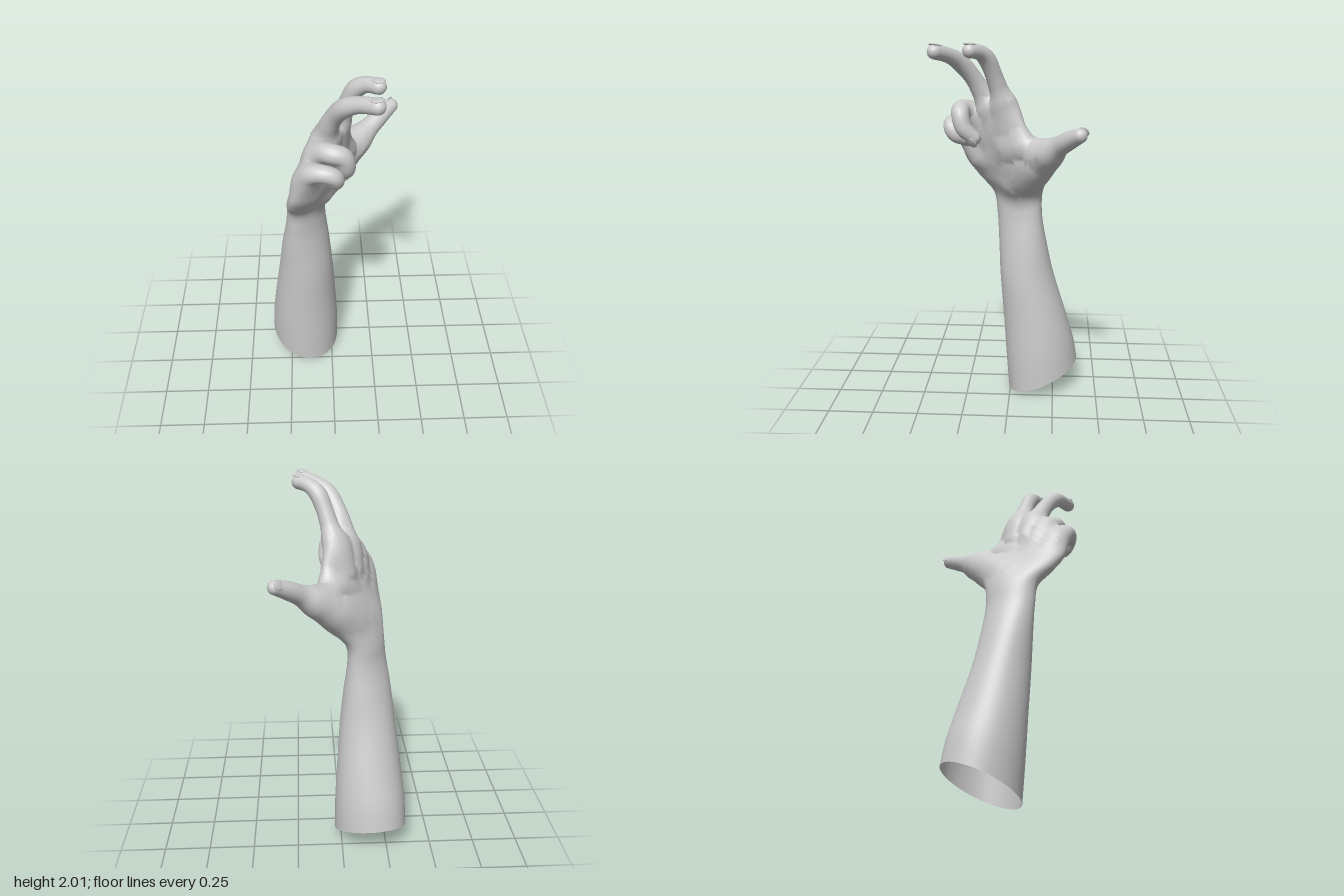
import * as THREE from 'three';

const skin = new THREE.MeshStandardMaterial({ color: 0xcccccc, side: THREE.DoubleSide });

// Catmull-Rom interpolation of rows of numbers
function spline(rows, steps) {
  const out = [];
  const last = rows.length - 1;
  for (let k = 0; k <= last * steps; k++) {
    const i = Math.min(Math.floor(k / steps), last - 1);
    const t = k / steps - i;
    const p0 = rows[Math.max(i - 1, 0)], p1 = rows[i], p2 = rows[i + 1], p3 = rows[Math.min(i + 2, last)];
    out.push(p1.map((b, c) => {
      const m1 = (p2[c] - p0[c]) / 2, m2 = (p3[c] - b) / 2, d = p2[c] - b;
      return b + t * (m1 + t * (3 * d - 2 * m1 - m2 + t * (m1 + m2 - 2 * d)));
    }));
  }
  return out;
}

// Smooth skin through closed rings of equal length
function loft(rings) {
  const n = rings[0].length, index = [];
  for (let i = 0; i < rings.length - 1; i++) {
    for (let j = 0; j < n; j++) {
      const a = i * n + j, b = i * n + (j + 1) % n;
      index.push(a, b, a + n, b, b + n, a + n);
    }
  }
  const geometry = new THREE.BufferGeometry().setFromPoints(rings.flat());
  geometry.setIndex(index);
  geometry.computeVertexNormals();
  geometry.computeBoundingBox();
  return geometry;
}

function add(group, geometry, name) {
  const mesh = new THREE.Mesh(geometry, skin);
  mesh.name = name;
  group.add(mesh);
  return mesh;
}

// Round limb along rows of [x, y, z, radius] with rounded ends; k is its blend width
function limb(name, k, rows) {
  const path = spline(rows, 6).map(([x, y, z, r]) => ({ p: new THREE.Vector3(x, y, z), r }));
  const last = path.length - 1;
  path.forEach((f, i) => {
    f.t = path[Math.min(i + 1, last)].p.clone().sub(path[Math.max(i - 1, 0)].p).normalize();
  });
  const cap = ({ p, r, t }, sign) => Array.from({ length: 6 }, (_, i) => {
    const a = (i + 1) / 6 * Math.PI / 2;
    return { p: p.clone().addScaledVector(t, sign * r * Math.sin(a)), r: Math.max(r * Math.cos(a), 0.0005), t };
  });
  const frames = [...cap(path[0], -1).reverse(), ...path, ...cap(path[last], 1)];
  const normal = new THREE.Vector3(0.3, 0.1, -0.9);
  const rings = frames.map(({ p, r, t }) => {
    normal.addScaledVector(t, -normal.dot(t)).normalize();
    const side = t.clone().cross(normal);
    return Array.from({ length: 20 }, (_, j) => {
      const a = j / 20 * Math.PI * 2;
      return p.clone().addScaledVector(normal, r * Math.cos(a)).addScaledVector(side, r * Math.sin(a));
    });
  });
  return { name, k, geometry: loft(rings), end: path[last] };
}

// Signed distance from a point to the nearest vertex plane of a geometry
function nearest(point, geometry) {
  const P = geometry.attributes.position.array, N = geometry.attributes.normal.array;
  let best = Infinity, at = 0;
  for (let i = 0; i < P.length; i += 3) {
    const x = point.x - P[i], y = point.y - P[i + 1], z = point.z - P[i + 2];
    const d = x * x + y * y + z * z;
    if (d < best) { best = d; at = i; }
  }
  const normal = new THREE.Vector3().fromArray(N, at);
  return { normal, distance: point.clone().sub(new THREE.Vector3().fromArray(P, at)).dot(normal) };
}

// Copy of a skin that swells and shares its shading where it meets its neighbours
function blend(geometry, neighbours) {
  const result = geometry.clone();
  const { position, normal } = result.attributes;
  const p = new THREE.Vector3(), n = new THREE.Vector3();
  for (let i = 0; i < position.count; i++) {
    p.fromBufferAttribute(position, i);
    n.fromBufferAttribute(normal, i);
    let weight = 0, reach = 0, other;
    for (const { geometry: g, k } of neighbours) {
      if (g.boundingBox.distanceToPoint(p) > k) continue;
      const hit = nearest(p, g);
      const w = 1 - Math.abs(hit.distance) / k;
      if (w > weight) { weight = w; reach = k; other = hit.normal; }
    }
    if (!other) continue;
    p.addScaledVector(n, weight * weight * reach / 4);
    n.multiplyScalar(1 - weight / 2).addScaledVector(other, weight / 2).normalize();
    position.setXYZ(i, p.x, p.y, p.z);
    normal.setXYZ(i, n.x, n.y, n.z);
  }
  return result;
}

// Thin nail on the side of a fingertip given by dir
function addNail(group, name, { p, r, t }, dir) {
  const up = dir.clone().addScaledVector(t, -dir.dot(t)).normalize();
  const nail = add(group, new THREE.SphereGeometry(1, 16, 10), name);
  nail.scale.set(r * 0.75, r * 0.2, r * 0.95);
  nail.quaternion.setFromRotationMatrix(new THREE.Matrix4().makeBasis(up.clone().cross(t), up, t));
  nail.position.copy(p).addScaledVector(up, r * 0.85).addScaledVector(t, r * 0.05);
}

// Arm cross-sections: y, centre x, centre z, half width, half thickness, turn in degrees, slope along z
function armRings() {
  const sections = [
    [0.08, -0.163, -0.19, 0.19, 0.208, 45, -0.42],
    [0.25, -0.16, -0.17, 0.19, 0.2, 45, -0.25],
    [0.45, -0.155, -0.138, 0.178, 0.178, 45, -0.1],
    [0.7, -0.147, -0.093, 0.155, 0.15, 45, 0],
    [0.9, -0.145, -0.067, 0.146, 0.118, 50, 0],
    [1.05, -0.142, -0.05, 0.141, 0.09, 56, 0],
    [1.17, -0.135, -0.038, 0.15, 0.082, 59, 0],
    [1.27, -0.107, 0.01, 0.2, 0.085, 57, 0],
    [1.38, -0.07, 0.052, 0.232, 0.084, 54, -0.1],
    [1.5, -0.047, 0.08, 0.22, 0.075, 52, -0.25],
    [1.6, -0.042, 0.1, 0.176, 0.063, 52, -0.5],
    [1.67, -0.025, 0.105, 0.128, 0.048, 52, -0.5],
    [1.705, -0.018, 0.105, 0.002, 0.002, 52, -0.5],
  ];
  return spline(sections, 6).map(([y, cx, cz, u, v, turn, slope]) => {
    const c = Math.cos(turn * Math.PI / 180), s = Math.sin(turn * Math.PI / 180);
    // The palm side is hollow around y = 1.45; the lower cut also tilts along x
    const hollow = 0.2 * Math.max(0, 1 - Math.abs(y - 1.45) / 0.2);
    const tilt = -0.1 * Math.max(0, 1 - y / 0.4);
    return Array.from({ length: 60 }, (_, j) => {
      const a = j / 60 * Math.PI * 2, sn = Math.sin(a);
      const w = u * Math.cos(a);
      const d = v * sn * (sn < 0 ? 1 - hollow * sn * sn : 1);
      const dx = w * c - d * s, dz = -w * s - d * c;
      return new THREE.Vector3(cx + dx, y + tilt * dx + slope * dz, cz + dz);
    });
  });
}

export function createModel() {
  const model = new THREE.Group();
  model.name = 'armWithHand';
  const arm = loft(armRings());

  // Two raised fingers, two folded fingers
  const index = limb('indexFinger', 0.07, [
    [-0.02, 1.53, -0.005, 0.045], [0.01, 1.63, 0.014, 0.056], [0.042, 1.73, 0.042, 0.05], [0.073, 1.83, 0.073, 0.044],
    [0.108, 1.912, 0.105, 0.045], [0.155, 1.95, 0.14, 0.038], [0.205, 1.96, 0.182, 0.037]]);
  const middle = limb('middleFinger', 0.07, [
    [-0.062, 1.53, 0.06, 0.045], [-0.043, 1.63, 0.095, 0.056], [-0.024, 1.73, 0.144, 0.051], [0.005, 1.815, 0.188, 0.045],
    [0.05, 1.89, 0.245, 0.046], [0.115, 1.932, 0.298, 0.039], [0.188, 1.954, 0.358, 0.038]]);
  const ring = limb('ringFinger', 0.06, [
    [-0.09, 1.48, 0.1, 0.045], [-0.078, 1.57, 0.148, 0.057], [-0.058, 1.635, 0.21, 0.052], [-0.01, 1.65, 0.25, 0.049],
    [0.046, 1.63, 0.254, 0.047], [0.062, 1.56, 0.235, 0.044], [0.052, 1.507, 0.185, 0.039]]);
  const little = limb('littleFinger', 0.06, [
    [-0.125, 1.38, 0.165, 0.05], [-0.135, 1.475, 0.22, 0.056], [-0.112, 1.55, 0.27, 0.051], [-0.055, 1.573, 0.302, 0.045],
    [0, 1.557, 0.308, 0.042], [0.01, 1.515, 0.282, 0.04], [-0.01, 1.495, 0.235, 0.036]]);

  // Thumb and the skin between thumb and palm
  const thumb = limb('thumb', 0.11, [
    [-0.07, 1.25, -0.05, 0.06], [-0.03, 1.295, -0.095, 0.08], [0.04, 1.36, -0.155, 0.09], [0.125, 1.43, -0.213, 0.072],
    [0.2, 1.487, -0.258, 0.054], [0.268, 1.533, -0.313, 0.047], [0.328, 1.566, -0.362, 0.037]]);
  const web = limb('thumbWeb', 0.09, [
    [0.005, 1.46, -0.015, 0.05], [0.045, 1.46, -0.08, 0.055], [0.09, 1.45, -0.14, 0.052], [0.14, 1.448, -0.2, 0.042]]);

  // Forearm, wrist and palm in one skin, open at the lower end
  add(model, blend(arm, [index, middle, ring, little, thumb, web]), 'forearmAndPalm');

  // Each limb blends into the palm and into its mate
  const upward = new THREE.Vector3(-0.3, 1, -0.2), outward = new THREE.Vector3(0.8, -0.5, 0.5);
  const backward = new THREE.Vector3(-0.3, 0.6, -0.7);
  const addLimb = (part, mates, nailDir) => {
    const group = new THREE.Group();
    group.name = part.name;
    add(group, blend(part.geometry, [{ geometry: arm, k: part.k }, ...mates]), part.name + 'Flesh');
    if (nailDir) addNail(group, part.name + 'Nail', part.end, nailDir);
    model.add(group);
  };
  addLimb(index, [middle], upward);
  addLimb(middle, [index], upward);
  addLimb(ring, [], outward);
  addLimb(little, [], outward);
  addLimb(thumb, [web], backward);
  addLimb(web, [thumb]);
  return model;
}
